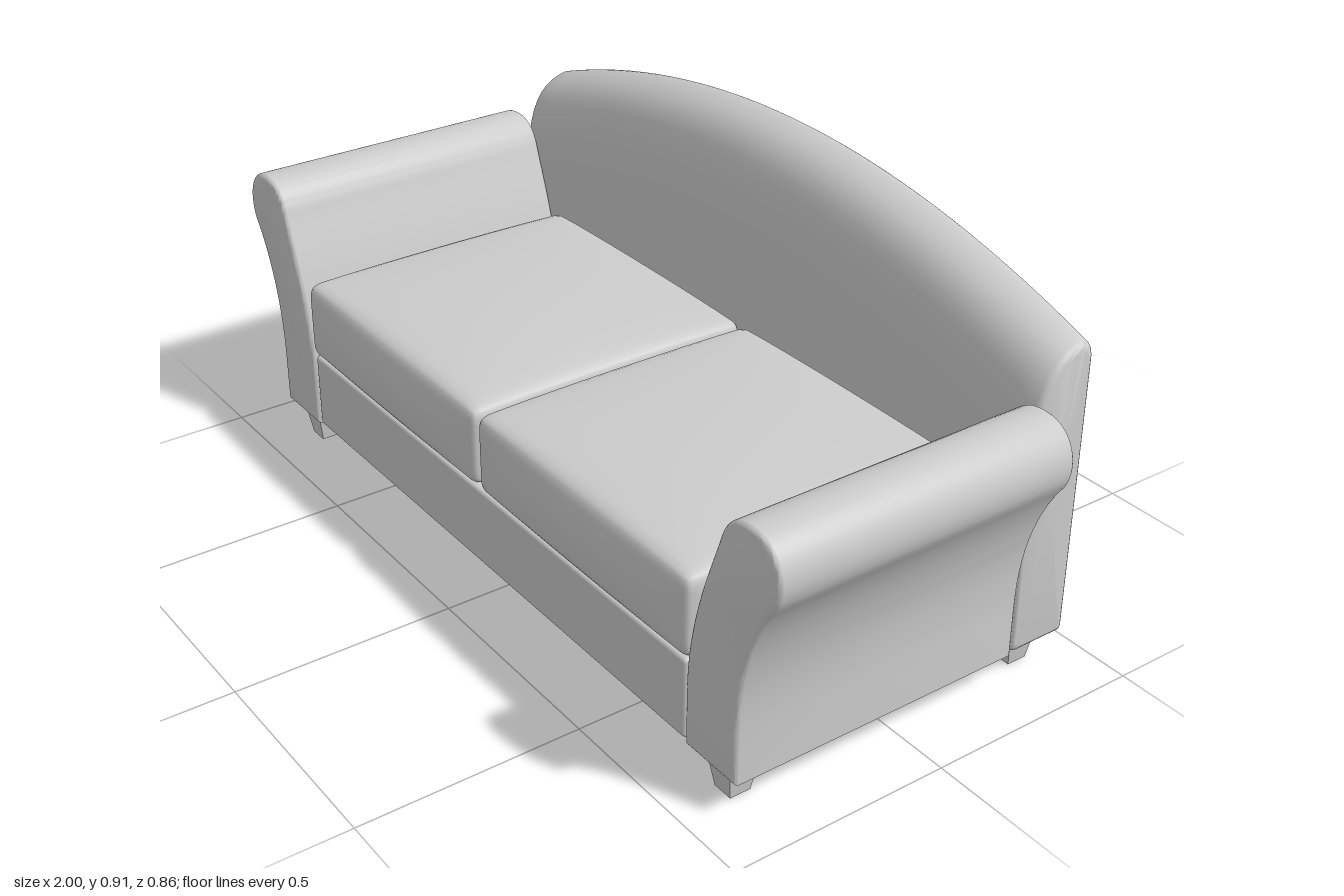
import * as THREE from 'three';
import { mergeVertices, toCreasedNormals } from 'three/addons/utils/BufferGeometryUtils.js';
import { RoundedBoxGeometry } from 'three/addons/geometries/RoundedBoxGeometry.js';

const material = new THREE.MeshStandardMaterial({ color: 0xcccccc });
const legMaterial = new THREE.MeshStandardMaterial({ color: 0xcccccc, flatShading: true });

function addMesh(parent, name, geometry, x = 0, y = 0, z = 0, mat = material) {
  const mesh = new THREE.Mesh(geometry, mat);
  mesh.name = name;
  mesh.position.set(x, y, z);
  parent.add(mesh);
  return mesh;
}

// Scroll arm: flared outline extruded front to back with a soft edge
function armGeometry(side) {
  const s = new THREE.Shape();
  const X = (x) => x * side;
  s.moveTo(X(0.735), 0.08);
  s.lineTo(X(0.89), 0.08);
  s.lineTo(X(0.89), 0.2);
  s.bezierCurveTo(X(0.89), 0.34, X(0.93), 0.45, X(0.985), 0.525);
  s.bezierCurveTo(X(1.015), 0.575, X(0.995), 0.66, X(0.915), 0.66);
  s.bezierCurveTo(X(0.86), 0.66, X(0.838), 0.63, X(0.825), 0.585);
  s.bezierCurveTo(X(0.79), 0.49, X(0.735), 0.36, X(0.735), 0.2);
  s.closePath();
  const bevel = 0.01;
  const geo = new THREE.ExtrudeGeometry(s, {
    depth: 0.701 - 2 * bevel, curveSegments: 14, bevelEnabled: true,
    bevelThickness: bevel, bevelSize: bevel, bevelOffset: -bevel, bevelSegments: 4,
  });
  geo.translate(0, 0, -0.283 + bevel);
  return toCreasedNormals(geo, 0.7);
}

// Side section of the backrest (z, y) for a given top height
function backSection(h) {
  const s = new THREE.Shape();
  s.moveTo(-0.415, 0.08);
  s.lineTo(-0.297, 0.08);
  s.quadraticCurveTo(-0.285, 0.08, -0.285, 0.092);
  s.lineTo(-0.285, h - 0.22);
  s.bezierCurveTo(-0.287, h - 0.06, -0.33, h - 0.015, -0.397, h);
  s.quadraticCurveTo(-0.427, h, -0.427, h - 0.035);
  s.lineTo(-0.427, 0.092);
  s.quadraticCurveTo(-0.427, 0.08, -0.415, 0.08);
  const pts = s.getPoints(10);
  pts.pop();
  return pts;
}

// Backrest: sections lofted along x under an arched top, with rounded ends
function backGeometry() {
  const half = 0.89, round = 0.014, stations = [];
  for (let i = 0; i <= 4; i++) {
    const a = (i / 4) * Math.PI / 2;
    stations.push([-half + round * (1 - Math.cos(Math.PI / 2 - a)), round * (1 - Math.sin(a))]);
  }
  for (let i = 0; i < 5; i++) stations[i][0] = -half + round * (1 - Math.cos((i / 4) * Math.PI / 2));
  const inner = half - round;
  for (let i = 1; i < 32; i++) stations.push([-inner + (2 * inner * i) / 32, 0]);
  for (let i = 4; i >= 0; i--) stations.push([-stations[i][0], stations[i][1]]);

  const pos = [], index = [];
  let n = 0;
  for (const [x, inset] of stations) {
    const h = 0.912 - 0.165 * (x / half) ** 2;
    const section = backSection(h);
    n = section.length;
    const cy = (0.08 + h) / 2, cz = -0.356;
    const ky = 1 - inset / (h - cy), kz = 1 - inset / 0.071;
    for (const p of section) pos.push(x, cy + (p.y - cy) * ky, cz + (p.x - cz) * kz);
  }
  for (let i = 0; i < stations.length - 1; i++) {
    for (let j = 0; j < n; j++) {
      const a = i * n + j, b = i * n + (j + 1) % n;
      index.push(a, a + n, b, b, a + n, b + n);
    }
  }
  // End caps
  const last = (stations.length - 1) * n, c = pos.length / 3;
  pos.push(-half, 0.4, -0.356, half, 0.4, -0.356);
  for (let j = 0; j < n; j++) {
    const k = (j + 1) % n;
    index.push(c, j, k, c + 1, last + k, last + j);
  }
  const geo = new THREE.BufferGeometry();
  geo.setAttribute('position', new THREE.Float32BufferAttribute(pos, 3));
  geo.setIndex(index);
  // Face the loft outwards whichever way the section runs
  const v = (i) => new THREE.Vector3().fromArray(pos, i * 3);
  const m = 20 * n;
  const normal = v(m + n).sub(v(m)).cross(v(m + 1).sub(v(m)));
  if (normal.y > 0) {
    for (let i = 0; i < index.length; i += 3) [index[i], index[i + 1]] = [index[i + 1], index[i]];
    geo.setIndex(index);
  }
  return toCreasedNormals(geo, 0.7);
}

// Seat cushion: rounded box with a crowned top and slightly bulging front
function cushionGeometry(w, h, d) {
  let geo = new THREE.BoxGeometry(2, 2, 2, 24, 14, 24);
  geo.deleteAttribute('normal');
  geo.deleteAttribute('uv');
  geo = mergeVertices(geo);
  const pos = geo.attributes.position, r = 0.025;
  const half = new THREE.Vector3(w / 2, h / 2, d / 2);
  const core = half.clone().subScalar(r), p = new THREE.Vector3(), q = new THREE.Vector3();
  for (let i = 0; i < pos.count; i++) {
    p.fromBufferAttribute(pos, i);
    p.set(...p.toArray().map((t) => Math.sin(t * Math.PI / 2))).multiply(half);
    q.copy(p).clamp(core.clone().negate(), core);
    p.sub(q).setLength(r).add(q);
    const u = 1 - (p.x / half.x) ** 2, v = 1 - (p.y / half.y) ** 2, t = 1 - (p.z / half.z) ** 2;
    if (p.y > 0) p.y += 0.03 * (p.y / half.y) * Math.sqrt(u) * Math.sqrt(Math.max(t, 0));
    if (p.z > 0) p.z += 0.012 * (p.z / half.z) * u * Math.max(v, 0);
    pos.setXYZ(i, p.x, p.y, p.z);
  }
  geo.computeVertexNormals();
  return geo;
}

export function createModel() {
  const sofa = new THREE.Group();
  sofa.name = 'sofa';

  addMesh(sofa, 'base', new RoundedBoxGeometry(1.46, 0.185, 0.695, 3, 0.01), 0, 0.1755, 0.0665);
  addMesh(sofa, 'backrest', backGeometry());

  for (const side of [1, -1]) {
    const label = side > 0 ? 'left' : 'right';
    addMesh(sofa, label + 'Arm', armGeometry(side));
    addMesh(sofa, label + 'Cushion', cushionGeometry(0.735, 0.183, 0.703), side * 0.3715, 0.3595, 0.0665);

    // Tapered square legs
    for (const [place, z] of [['Front', 0.36], ['Back', -0.36]]) {
      const leg = new THREE.CylinderGeometry(0.037 * Math.SQRT2, 0.024 * Math.SQRT2, 0.085, 4);
      leg.rotateY(Math.PI / 4);
      addMesh(sofa, label + place + 'Leg', leg, side * 0.812, 0.0425, z, legMaterial);
    }
  }
  return sofa;
}
